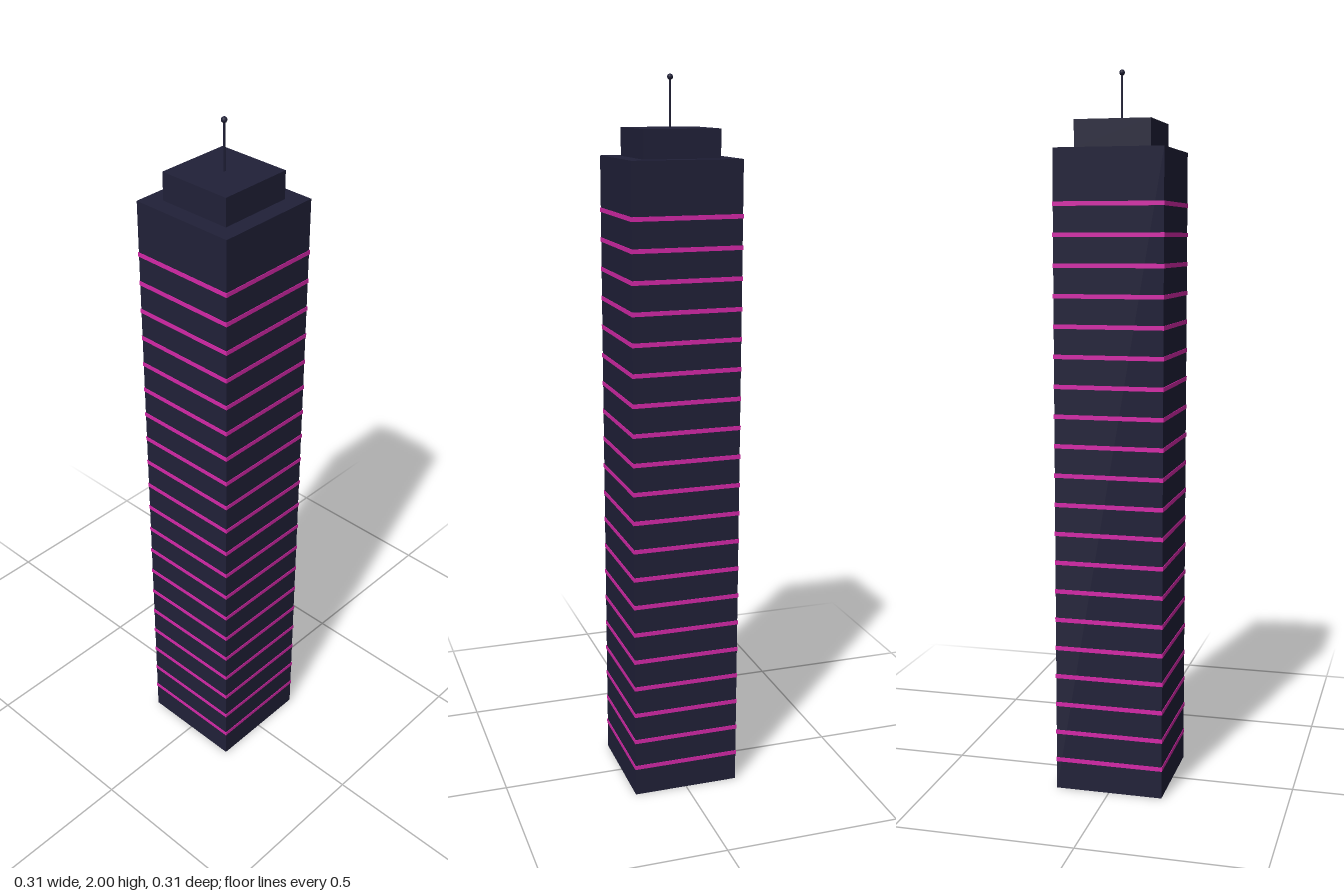
import * as THREE from 'three';

export function createModel() {
  const model = new THREE.Group();
  const facade = new THREE.MeshStandardMaterial({ color: 0x202038 });
  facade.name = 'dark navy facade';
  const neon = new THREE.MeshStandardMaterial({ color: 0xd428a8 });
  neon.name = 'magenta light';

  const add = (name, geometry, material, y) => {
    const mesh = new THREE.Mesh(geometry, material);
    mesh.name = name;
    mesh.position.y = y;
    model.add(mesh);
  };

  const width = 0.304, height = 1.786;
  const crownWidth = 0.212, crownHeight = 0.076;
  const roof = height + crownHeight;
  const tipRadius = 0.008;
  const mastHeight = 2 - tipRadius - roof;

  // Tower shaft and stepped crown
  add('tower', new THREE.BoxGeometry(width, height, width), facade, height / 2);
  add('crown', new THREE.BoxGeometry(crownWidth, crownHeight, crownWidth), facade, height + crownHeight / 2);

  // Rooftop antenna with a round tip
  add('antennaMast', new THREE.CylinderGeometry(0.003, 0.003, mastHeight, 8), facade, roof + mastHeight / 2);
  add('antennaTip', new THREE.SphereGeometry(tipRadius, 12, 8), facade, 2 - tipRadius);

  // Light bands wrapping all four sides, one per floor
  const bandGeometry = new THREE.BoxGeometry(width + 0.003, 0.012, width + 0.003);
  for (let i = 0; i < 20; i++) {
    add(`lightBand${i + 1}`, bandGeometry, neon, 0.085 + i * 0.0818);
  }
  return model;
}
